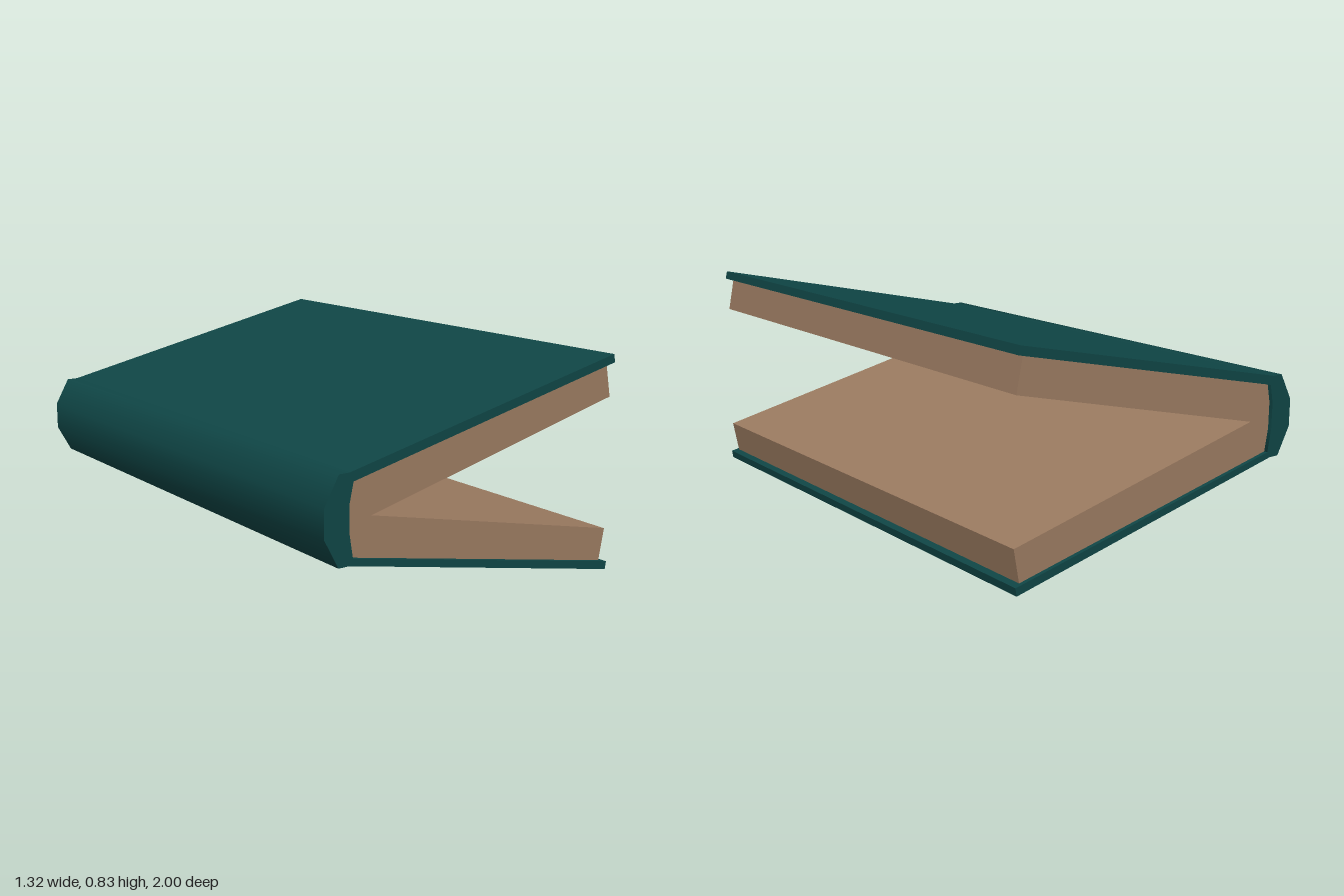
import * as THREE from 'three';
import { toCreasedNormals } from 'three/addons/utils/BufferGeometryUtils.js';

const toShape = (points) => new THREE.Shape(points.map(([x, y]) => new THREE.Vector2(x, y)));

// Extrudes an x-y profile along z, centred on z = 0
function slab(points, length) {
  const geometry = new THREE.ExtrudeGeometry(toShape(points), { depth: length, bevelEnabled: false });
  return geometry.translate(0, 0, -length / 2);
}

export function createModel() {
  const group = new THREE.Group();
  const material = (name, color) => {
    const m = new THREE.MeshStandardMaterial({ color });
    m.name = name;
    return m;
  };
  const green = material('coverGreen', 0x0f4545);
  const tan = material('paperTan', 0x9a7a60);
  const navy = material('stainNavy', 0x20344a);

  const add = (name, geometry, mat) => {
    const mesh = new THREE.Mesh(geometry, mat);
    mesh.name = name;
    group.add(mesh);
  };

  // Two cover boards, opened into a V
  add('topBoard', slab([[-0.56, 0.562], [-0.545, 0.53], [0.648, 0.795], [0.641, 0.826]], 2), green);
  add('bottomBoard', slab([[-0.56, 0.25], [0.652, 0], [0.657, 0.03], [-0.545, 0.272]], 2), green);

  // Rounded spine
  const spine = slab([
    [-0.545, 0.53], [-0.56, 0.562], [-0.603, 0.562], [-0.66, 0.46], [-0.66, 0.355],
    [-0.603, 0.25], [-0.56, 0.25], [-0.545, 0.272], [-0.56, 0.36], [-0.56, 0.46],
  ], 2);
  add('spine', toCreasedNormals(spine, 1.1), green);

  // Page block, split down the middle
  add('pages', slab([
    [-0.46, 0.4], [0.645, 0.665], [0.62, 0.788], [-0.545, 0.53], [-0.56, 0.46],
    [-0.56, 0.36], [-0.545, 0.272], [0.63, 0.035], [0.653, 0.158],
  ], 1.97), tan);

  // Ragged stain under the bottom board: outline in x-z, laid on the slope
  const stain = new THREE.ShapeGeometry(toShape([
    [0.55, 0.25], [0.57, 0.05], [0.46, -0.07], [0.55, -0.23], [0.4, -0.33], [0.21, -0.28],
    [0.12, -0.43], [-0.06, -0.45], [-0.22, -0.4], [-0.2, -0.28], [-0.33, -0.17],
    [-0.26, -0.07], [-0.36, 0], [-0.26, 0.16], [-0.34, 0.26], [-0.22, 0.4],
    [-0.02, 0.35], [0.11, 0.53], [0.22, 0.45], [0.22, 0.31], [0.47, 0.3],
  ]));
  const p = stain.attributes.position;
  for (let i = 0; i < p.count; i++) {
    const x = p.getX(i), z = p.getY(i);
    p.setXYZ(i, x, 0.25 - (x + 0.56) * (0.25 / 1.212) - 0.003, z);
  }
  stain.computeVertexNormals();
  add('coverStain', stain, navy);

  return group;
}
